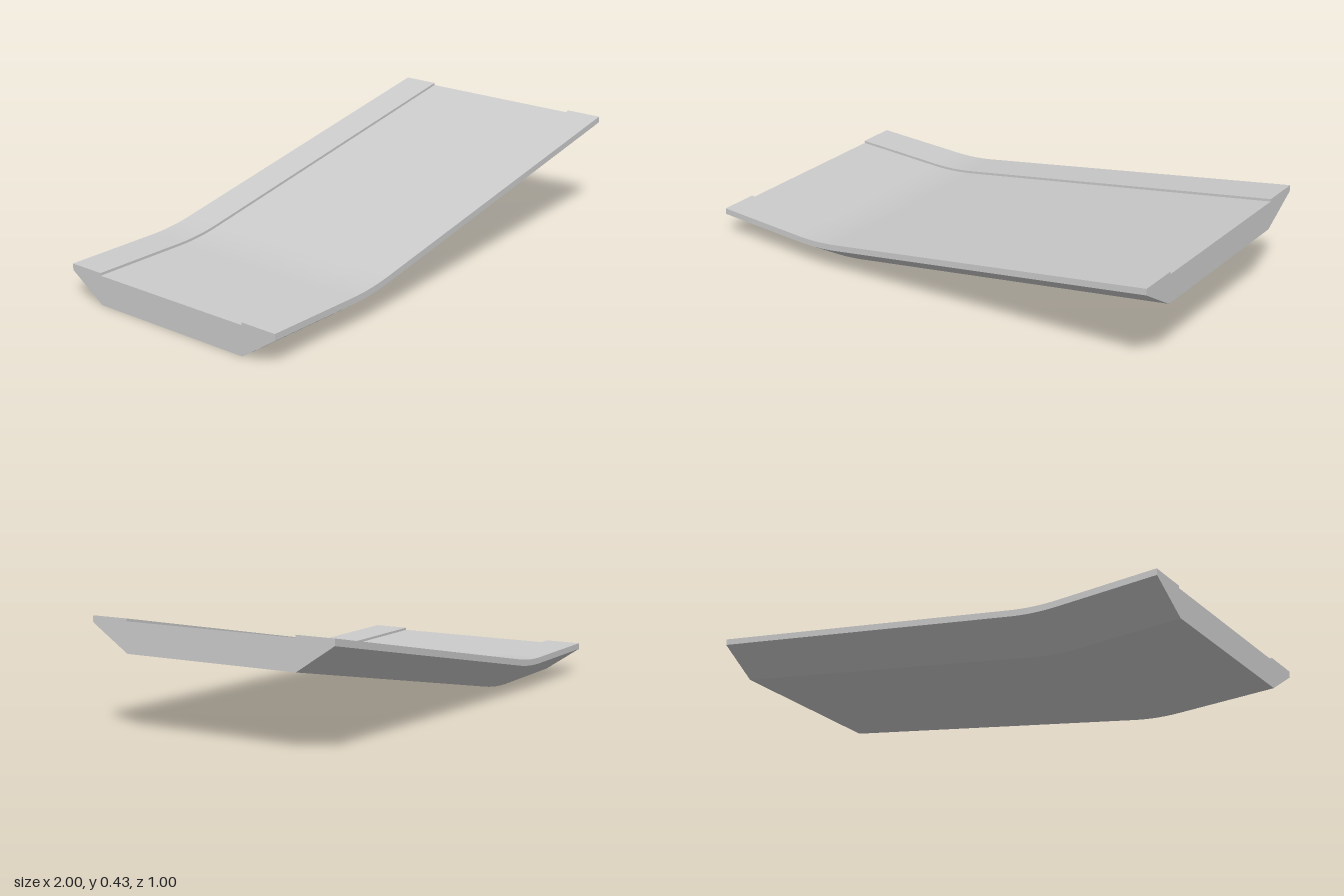
import * as THREE from 'three';

// Height of the ramp's centre line: flat, short parabolic bend, then a steady slope
const rise = x => x < -0.6 ? 0 : x < -0.4 ? 0.5 * (x + 0.6) ** 2 / 1 : 0.1 + 0.2 * x;

// Cross-section (-z, y), counter-clockwise seen from +x; each edge names the surface it sweeps
const profile = [
  [-0.35, 0, 'underside'],
  [0.35, 0, 'backBevel'],
  [0.5, 0.1, 'backEdge'],
  [0.5, 0.125, 'backKerbTop'],
  [0.35, 0.125, 'backKerbStep'],
  [0.35, 0.115, 'deck'],
  [-0.35, 0.115, 'frontKerbStep'],
  [-0.35, 0.125, 'frontKerbTop'],
  [-0.5, 0.125, 'frontEdge'],
  [-0.5, 0.1, 'frontBevel'],
];

// Lengthwise stations, dense only around the bend
const stations = [-1];
for (let i = 0; i <= 10; i++) stations.push(-0.6 + 0.02 * i);
stations.push(1);

// Sweep one profile edge along the ramp: smooth lengthwise, sharp at its borders
function sweepEdge(a, b) {
  const positions = [], index = [];
  stations.forEach((x, i) => {
    for (const [u, y] of [a, b]) positions.push(x, y + rise(x), -u);
    if (i < stations.length - 1) {
      const k = 2 * i;
      index.push(k, k + 1, k + 2, k + 1, k + 3, k + 2);
    }
  });
  const geometry = new THREE.BufferGeometry();
  geometry.setAttribute('position', new THREE.Float32BufferAttribute(positions, 3));
  geometry.setIndex(index);
  geometry.computeVertexNormals();
  return geometry;
}

export function createModel() {
  const ramp = new THREE.Group();
  ramp.name = 'ramp';
  const material = new THREE.MeshStandardMaterial({ color: 0xcccccc });
  const add = (name, geometry) => {
    const mesh = new THREE.Mesh(geometry, material);
    mesh.name = name;
    ramp.add(mesh);
    return mesh;
  };

  // Long surfaces
  profile.forEach((a, i) => add(a[2], sweepEdge(a, profile[(i + 1) % profile.length])));

  // End faces
  const section = new THREE.Shape(profile.map(([u, y]) => new THREE.Vector2(u, y)));
  for (const [name, x] of [['highEnd', 1], ['lowEnd', -1]]) {
    const cap = new THREE.ShapeGeometry(section).rotateY(x * Math.PI / 2);
    add(name, cap).position.set(x, rise(x), 0);
  }
  return ramp;
}
